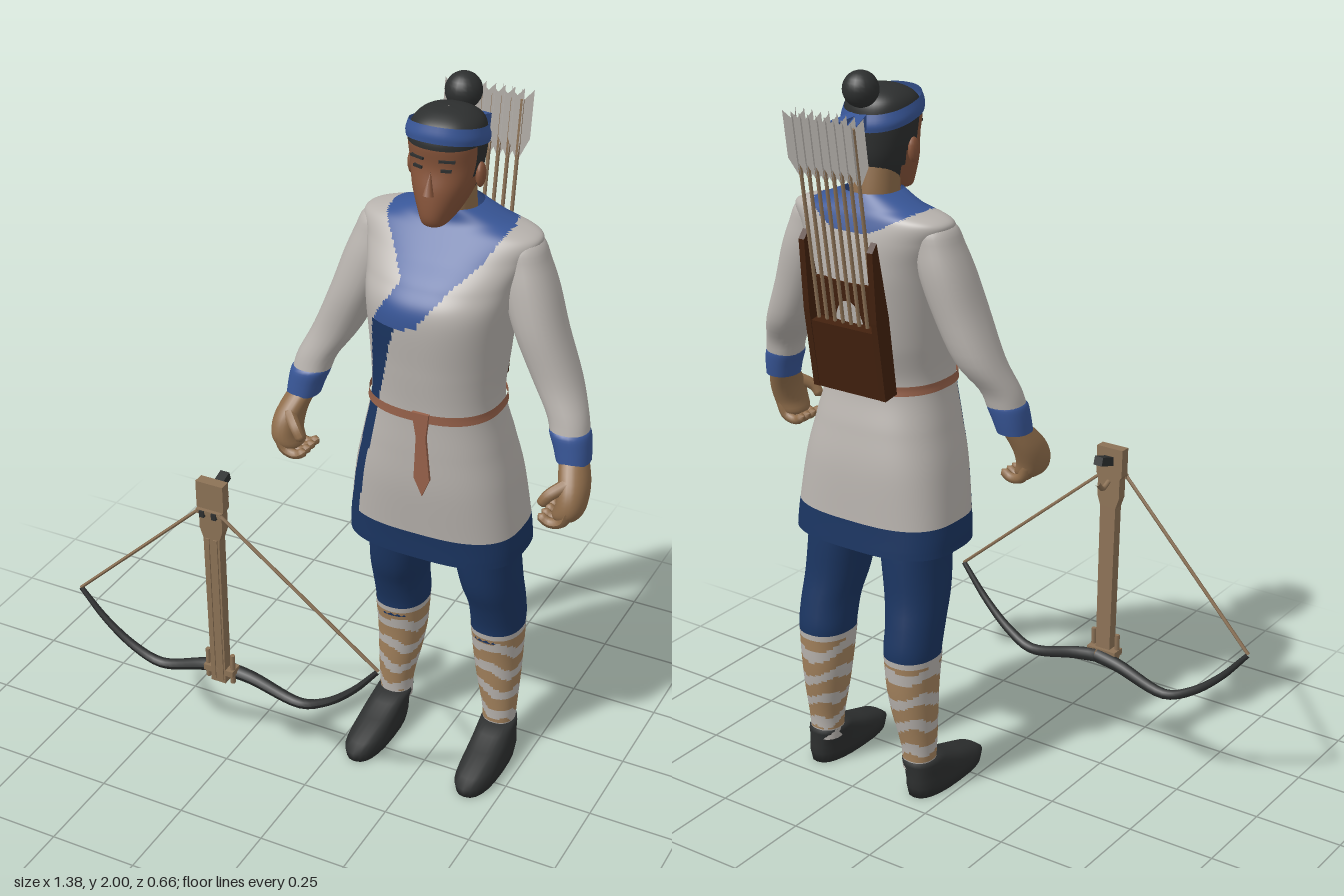
import * as THREE from 'three';

const mat = (name, color, side = THREE.FrontSide) => {
  const m = new THREE.MeshStandardMaterial({ color, side });
  m.name = name;
  return m;
};
const cloth = mat('undyed cloth', 0xb8b3ae, THREE.DoubleSide);
const blue = mat('blue cloth', 0x385697, THREE.DoubleSide);
const navy = mat('navy cloth', 0x1b3561, THREE.DoubleSide);
const face = mat('face skin', 0x86543a);
const skin = mat('hand skin', 0x8f6d4b);
const linen = mat('tan linen', 0xa3825d);
const leather = mat('belt leather', 0x96614a, THREE.DoubleSide);
const quiverBrown = mat('dark leather', 0x42210e);
const charcoal = mat('charcoal', 0x2d2f2f);
const wood = mat('bow wood', 0x8c7256);

const add = (parent, name, geo, material, x = 0, y = 0, z = 0) => {
  const mesh = new THREE.Mesh(geo, material);
  mesh.name = name;
  mesh.position.set(x, y, z);
  parent.add(mesh);
  return mesh;
};

// Loft through horizontal sections, rows bottom to top: [y, centre x, half width, front z, back z].
// paint(x, y, z, angle) picks the material index of each cell; power(y) squares off the section.
function loft(rows, { n = 24, spans = 4, power = () => 0.9, tilt = 0, paint = () => 0 } = {}) {
  const curve = new THREE.CubicInterpolant(rows.map((_, i) => i), rows.flat(), 5);
  const steps = (rows.length - 1) * spans;
  const pos = [], lists = [];
  const bulge = (v, y) => Math.sign(v) * Math.abs(v) ** power(y);
  for (let i = 0; i <= steps; i++) {
    const [y, cx, rx, zf, zb] = spans === 1 ? rows[i] : curve.evaluate(i / spans);
    for (let j = 0; j < n; j++) {
      const a = (j / n) * Math.PI * 2;
      const z = (zf + zb) / 2 + ((zf - zb) / 2) * bulge(Math.sin(a), y);
      pos.push(cx + rx * bulge(Math.cos(a), y), y + tilt * z, z);
    }
  }
  for (let i = 0; i < steps; i++) {
    for (let j = 0; j < n; j++) {
      const k = (j + 1) % n;
      const [a, b, c, d] = [i * n + j, (i + 1) * n + j, (i + 1) * n + k, i * n + k];
      const mid = [0, 1, 2].map((q) => (pos[a * 3 + q] + pos[b * 3 + q] + pos[c * 3 + q] + pos[d * 3 + q]) / 4);
      const m = paint(...mid, ((j + 0.5) / n) * Math.PI * 2);
      (lists[m] ??= []).push(a, b, d, b, c, d);
    }
  }
  const geo = new THREE.BufferGeometry();
  geo.setAttribute('position', new THREE.Float32BufferAttribute(pos, 3));
  geo.setIndex(lists.flat());
  let start = 0;
  if (lists.length > 1) lists.forEach((l, m) => { geo.addGroup(start, l.length, m); start += l.length; });
  geo.computeVertexNormals();
  return geo;
}

// Tube whose radius follows radius(t)
function taperedTube(points, radius, n = 12, sides = 8) {
  const curve = new THREE.CatmullRomCurve3(points.map((p) => new THREE.Vector3(...p)));
  const geo = new THREE.TubeGeometry(curve, n, 1, sides);
  const p = geo.attributes.position, v = new THREE.Vector3();
  for (let i = 0; i <= n; i++) {
    const c = curve.getPointAt(i / n);
    for (let j = 0; j <= sides; j++) {
      const k = i * (sides + 1) + j;
      v.fromBufferAttribute(p, k).sub(c).multiplyScalar(radius(i / n)).add(c);
      p.setXYZ(k, v.x, v.y, v.z);
    }
  }
  geo.computeVertexNormals();
  return geo;
}
const outline = (pts) => new THREE.Shape(pts.map(([x, y]) => new THREE.Vector2(x, y)));
const extrude = (pts, depth) => new THREE.ExtrudeGeometry(outline(pts), { depth, bevelEnabled: false }).translate(0, 0, -depth / 2);
// Squarer at the hem, rounder at the chest
const tunicPower = (y) => THREE.MathUtils.clamp(0.68 + (y - 0.75) * 0.35, 0.68, 0.86);

function addTunic(man) {
  // Sash edges at each height: [y, one edge, other edge]
  const edges = [[0.79, -0.222, -0.185], [0.92, -0.2, -0.162], [1.18, -0.15, -0.112], [1.41, -0.127, -0.057],
    [1.43, -0.117, 0.003], [1.53, -0.055, 0.078], [1.59, -0.105, 0.135], [1.655, -0.165, 0.17], [1.72, -0.2, 0.2]];
  const sash = new THREE.LinearInterpolant(edges.map((e) => e[0]), edges.flatMap((e) => e.slice(1)), 2);
  const paint = (x, y, z) => {
    if (y < 0.805) return 2;
    if (z < -0.11) return y > 1.6 && Math.abs(x) < 0.06 + (y - 1.6) * 1.9 ? 1 : 0;
    const [l, r] = sash.evaluate(y);
    return x > l && x < r ? (y < 1.42 ? 2 : 1) : 0;
  };
  add(man, 'tunic', loft([
    [0.73, 0, 0.242, 0.075, -0.25], [0.8, 0, 0.238, 0.08, -0.244], [0.95, 0, 0.218, 0.097, -0.235],
    [1.06, 0, 0.194, 0.1, -0.215], [1.18, 0, 0.17, 0.1, -0.19], [1.3, 0, 0.176, 0.11, -0.217],
    [1.45, 0, 0.19, 0.12, -0.232], [1.52, 0, 0.2, 0.085, -0.23], [1.58, 0, 0.22, 0.03, -0.222],
    [1.63, 0, 0.235, -0.015, -0.207], [1.658, 0, 0.15, -0.035, -0.195], [1.69, 0, 0.075, -0.04, -0.18],
  ], { n: 160, spans: 12, power: tunicPower, paint }), [cloth, blue, navy]);
  add(man, 'belt', loft([[1.163, 0, 0.178, 0.106, -0.198], [1.176, 0, 0.176, 0.106, -0.196], [1.188, 0, 0.176, 0.106, -0.196]],
    { n: 64, power: tunicPower }), leather);
  add(man, 'beltTail', extrude([[0.005, 1.19], [0.052, 1.19], [0.045, 1.12], [0.058, 1.0], [0.038, 0.95], [0.014, 1.0], [0.018, 1.12]], 0.009),
    leather, -0.008, 0, 0.106);
}

function addArm(man, s) {
  const side = s > 0 ? 'left' : 'right';
  const rows = (list) => list.map(([y, x, ...r]) => [y, s * x, ...r]);
  add(man, side + 'Sleeve', loft(rows([
    [1.15, 0.367, 0.05, 0.01, -0.092], [1.2, 0.352, 0.053, 0, -0.105], [1.28, 0.308, 0.062, -0.012, -0.15],
    [1.4, 0.256, 0.067, -0.01, -0.168], [1.5, 0.222, 0.068, -0.02, -0.177], [1.57, 0.202, 0.06, -0.035, -0.172],
    [1.62, 0.185, 0.053, -0.05, -0.162], [1.645, 0.175, 0.006, -0.1, -0.112]])), cloth);
  add(man, side + 'Cuff', loft(rows([[1.085, 0.384, 0.044, 0.018, -0.08], [1.12, 0.377, 0.048, 0.016, -0.088],
    [1.155, 0.367, 0.052, 0.013, -0.094], [1.168, 0.362, 0.047, 0.003, -0.09]])), blue);
  const palm = [[0.94, 0.39, 0.004, 0.035, 0.01], [0.955, 0.395, 0.035, 0.07, -0.02], [0.99, 0.406, 0.038, 0.078, -0.03],
    [1.04, 0.403, 0.038, 0.06, -0.05], [1.1, 0.382, 0.036, 0.01, -0.075]];
  add(man, side + 'Palm', loft(rows(palm)), skin);
  // Curled fingers and thumb
  const tip = (r) => (t) => (t > 0.99 ? 0.001 : r * (1.05 - 0.3 * t));
  for (let i = 0; i < 4; i++) {
    const z = 0.062 - i * 0.025;
    add(man, side + 'Finger', taperedTube([[s * 0.41, 0.985, z], [s * 0.395, 0.95, z], [s * 0.362, 0.94, z], [s * 0.332, 0.958, z]], tip(0.016)), skin);
  }
  add(man, side + 'Thumb', taperedTube([[s * 0.395, 1.045, 0.035], [s * 0.358, 1.02, 0.065], [s * 0.338, 0.99, 0.07]], tip(0.018)), skin);
}

function addLeg(man, s) {
  const side = s > 0 ? 'left' : 'right';
  const rows = (list) => list.map(([y, x, ...r]) => [y, s * x, ...r]);
  add(man, side + 'Trouser', loft(rows([
    [0.4, 0.145, 0.069, -0.08, -0.243], [0.45, 0.145, 0.073, -0.075, -0.247], [0.52, 0.144, 0.074, -0.053, -0.236],
    [0.6, 0.135, 0.08, -0.022, -0.222], [0.72, 0.122, 0.087, 0, -0.215], [0.88, 0.11, 0.1, 0.02, -0.2]])), navy);
  // Calf with slanted linen bindings
  const paint = (x, y, z, a) => {
    const h = y + 0.015 * Math.cos(a * s + 0.6) + 0.009 * Math.sin(3 * a + 20 * y);
    return y > 0.115 && y < 0.41 && (h / 0.078) % 1 < 0.58 ? 1 : 0;
  };
  add(man, side + 'WrappedCalf', loft(rows([
    [0.08, 0.16, 0.044, -0.115, -0.203], [0.15, 0.16, 0.048, -0.11, -0.208], [0.25, 0.152, 0.06, -0.1, -0.228],
    [0.33, 0.147, 0.067, -0.092, -0.24], [0.43, 0.145, 0.073, -0.076, -0.247]]), { n: 48, spans: 12, paint }), [cloth, linen]);
  add(man, side + 'Shoe', loft(rows([
    [0, 0.17, 0.001, -0.05, -0.052], [0, 0.17, 0.052, 0.095, -0.2], [0.03, 0.17, 0.057, 0.102, -0.206], [0.05, 0.169, 0.054, 0.075, -0.206],
    [0.075, 0.167, 0.052, -0.01, -0.205], [0.095, 0.164, 0.05, -0.07, -0.207], [0.11, 0.162, 0.047, -0.1, -0.207],
    [0.11, 0.162, 0.001, -0.154, -0.156]]), { spans: 1, power: () => 0.8 }), charcoal);
}

function addHead(man) {
  add(man, 'neck', loft([[1.6, 0, 0.06, -0.05, -0.17], [1.68, 0, 0.06, -0.038, -0.165], [1.77, 0, 0.058, -0.03, -0.15]]), skin);
  const hairline = (x, y, z) => (y > 1.872 || (y > 1.7 && z < -0.075) || (y > 1.79 && z < -0.04) ? 1 : 0);
  add(man, 'head', loft([
    [1.665, 0, 0.002, 0.02, 0.01], [1.672, 0, 0.03, 0.035, -0.03], [1.7, 0, 0.049, 0.045, -0.12], [1.76, 0, 0.075, 0.042, -0.155],
    [1.82, 0, 0.089, 0.03, -0.164], [1.88, 0, 0.094, 0.036, -0.164], [1.92, 0, 0.084, 0.018, -0.152],
    [1.943, 0, 0.05, -0.02, -0.115], [1.95, 0, 0.002, -0.06, -0.064]], { n: 48, spans: 6, paint: hairline }), [face, charcoal]);
  add(man, 'hairBun', new THREE.SphereGeometry(0.047, 20, 14), charcoal, -0.006, 1.953, -0.163);
  const nose = add(man, 'nose', new THREE.ConeGeometry(0.015, 0.06, 8), face, 0, 1.785, 0.038);
  nose.rotation.x = -0.2;
  for (const s of [-1, 1]) {
    add(man, 'ear', new THREE.SphereGeometry(0.03, 12, 8).scale(0.4, 1.1, 0.65), face, s * 0.091, 1.79, -0.06);
    add(man, 'eye', new THREE.BoxGeometry(0.026, 0.007, 0.009), charcoal, s * 0.037, 1.82, 0.024).rotation.y = s * 0.3;
    add(man, 'brow', new THREE.BoxGeometry(0.04, 0.006, 0.009), charcoal, s * 0.039, 1.845, 0.026).rotation.y = s * 0.3;
    // Loose ends of the headband knot
    const tail = add(man, 'headbandTail', new THREE.BoxGeometry(0.028, 0.034, 0.065), blue, s * 0.02, 1.867, -0.196);
    tail.rotation.set(-0.2, s * -0.3, 0);
  }
  add(man, 'headband', loft([[1.882, 0, 0.098, 0.043, -0.172], [1.9, 0, 0.1, 0.043, -0.174], [1.925, 0, 0.093, 0.036, -0.166]],
    { n: 40, tilt: 0.22 }), blue);
}

function addQuiver(man) {
  const quiver = new THREE.Group();
  quiver.name = 'quiver';
  quiver.position.set(-0.002, 1.17, -0.207);
  quiver.rotation.x = -0.14;
  man.add(quiver);
  add(quiver, 'quiverPocket', new THREE.BoxGeometry(0.2, 0.19, 0.046), quiverBrown, 0, 0.095, 0);
  add(quiver, 'quiverBackboard', new THREE.BoxGeometry(0.2, 0.3, 0.012), quiverBrown, 0, 0.15, 0.018);
  for (const s of [-1, 1]) {
    const rail = extrude([[-0.025, 0], [0.024, 0], [0.026, 0.22], [0.012, 0.41], [-0.01, 0.43], [-0.026, 0.22]], 0.018);
    add(quiver, 'quiverRail', rail.rotateY(Math.PI / 2), quiverBrown, s * 0.108, 0, 0);
  }
  const vane = new THREE.ShapeGeometry(outline([[0, 0.57], [0.028, 0.63], [0.028, 0.755], [0, 0.725], [-0.028, 0.755], [-0.028, 0.63]]));
  for (let i = 0; i < 8; i++) {
    const x = -0.091 + i * 0.026;
    add(quiver, 'arrowShaft', new THREE.CylinderGeometry(0.005, 0.005, 0.64, 6), wood, x, 0.41, 0);
    for (const turn of [0.5, 0.5 + Math.PI / 2]) add(quiver, 'arrowFletching', vane, cloth, x, 0, 0).rotation.y = turn;
  }
}

function makeCrossbow() {
  const bow = new THREE.Group();
  bow.name = 'crossbow';
  bow.position.set(-0.225, 0, 0);
  // Stock with wide butt
  const half = [[0.022, 0.31], [0.024, 0.78], [0.034, 0.81], [0.034, 0.865], [0.04, 0.875], [0.04, 0.952]];
  const stock = add(bow, 'stock', extrude([...half, ...half.map(([x, y]) => [-x, y]).reverse()], 0.03), wood, -0.012, 0, 0.277);
  stock.rotation.x = 0.022;
  for (const s of [-1, 1]) {
    add(bow, 'guideRail', new THREE.BoxGeometry(0.012, 0.46, 0.012), wood, -0.012 + s * 0.012, 0.55, 0.302).rotation.x = 0.022;
    add(bow, 'limbPeg', new THREE.CylinderGeometry(0.007, 0.007, 0.09, 6), wood, -0.012 + s * 0.038, 0.355, 0.285);
    add(bow, 'nutPin', new THREE.BoxGeometry(0.014, 0.018, 0.009), charcoal, -0.012 + s * 0.018, 0.862, 0.322);
    const tip = [s * 0.462, 0.477 + s * 0.012, 0.275];
    add(bow, 'bowLimb', taperedTube([[0, 0.332, 0.262], [s * 0.07, 0.322, 0.258], [s * 0.22, 0.284 + s * 0.006, 0.26],
      [s * 0.3, 0.317 + s * 0.008, 0.266], [s * 0.385, 0.387 + s * 0.01, 0.272], tip], (t) => 0.02 - 0.013 * t, 24), charcoal);
    add(bow, 'bowString', taperedTube([tip, [-0.012 + s * 0.03, 0.87, 0.318]], () => 0.005, 2, 6), wood);
  }
  add(bow, 'stringCatch', new THREE.BoxGeometry(0.075, 0.012, 0.012), wood, -0.012, 0.866, 0.316);
  add(bow, 'limbBinding', new THREE.BoxGeometry(0.09, 0.018, 0.04), wood, -0.012, 0.345, 0.28);
  // Lever and trigger on the underside
  add(bow, 'lever', new THREE.BoxGeometry(0.026, 0.024, 0.065), charcoal, -0.012, 0.924, 0.256).rotation.x = 0.3;
  add(bow, 'trigger', taperedTube([[-0.012, 0.855, 0.28], [-0.012, 0.845, 0.25], [-0.012, 0.868, 0.225]], () => 0.007), wood);
  return bow;
}

export function createModel() {
  const model = new THREE.Group();
  model.name = 'crossbowman';
  const man = new THREE.Group();
  man.name = 'archer';
  man.position.x = 0.245;
  addTunic(man);
  for (const s of [-1, 1]) {
    addArm(man, s);
    addLeg(man, s);
  }
  addHead(man);
  addQuiver(man);
  model.add(man, makeCrossbow());
  return model;
}
